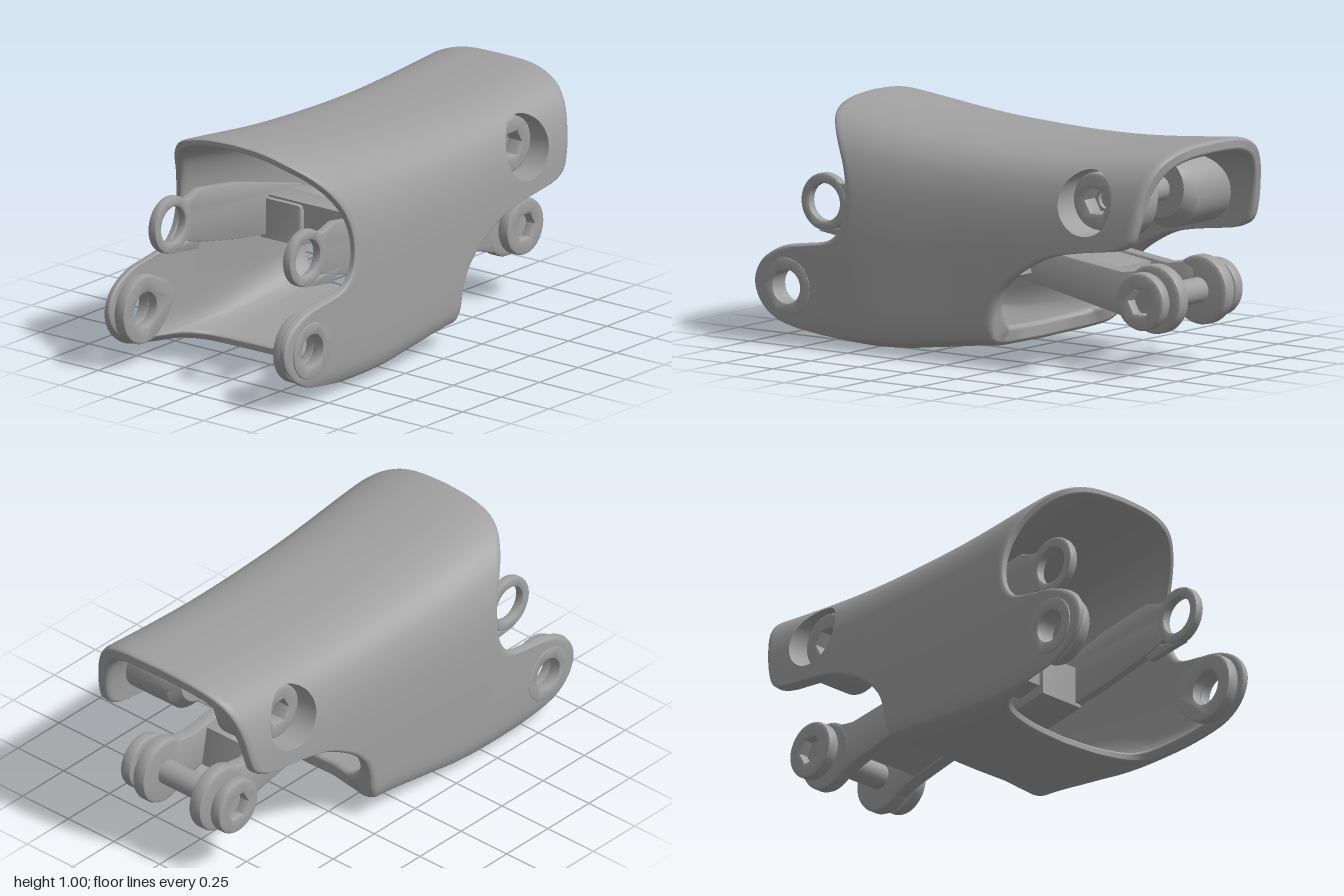
import * as THREE from 'three';
import { toCreasedNormals } from 'three/addons/utils/BufferGeometryUtils.js';

const { clamp, mapLinear, lerp } = THREE.MathUtils;
const V2 = (a) => new THREE.Vector2(a[0], a[1]);

// Smooth lookup table: key -> value through a few points with ascending keys
function table(points) {
  const pts = new THREE.SplineCurve(points.map(V2)).getPoints(240);
  return (k) => {
    if (k <= pts[0].x) return pts[0].y;
    for (let i = 1; i < pts.length; i++) {
      const a = pts[i - 1], b = pts[i];
      if (k <= b.x) return a.y + (b.y - a.y) * (k - a.x) / Math.max(b.x - a.x, 1e-6);
    }
    return pts[pts.length - 1].y;
  };
}

// Shell proportions along x
const top = table([[-1, 1.04], [-0.72, 1.005], [-0.3, 0.952], [0, 0.93], [0.3, 0.92], [0.6, 0.928], [1, 0.963]]);
const bottom = table([[-1, 0], [-0.41, 0], [-0.15, 0.025], [0.15, 0.06], [0.5, 0.065], [1, 0.065]]);
const halfWidth = table([[-1, 0.476], [-0.5, 0.48], [0, 0.456], [0.5, 0.44], [1, 0.43]]);
const wall = table([[-1, 0.038], [-0.5, 0.04], [0, 0.07], [0.2, 0.08], [0.6, 0.062], [1, 0.06]]);
const squareness = (x) => mapLinear(clamp(x, -0.7, 0.6), -0.7, 0.6, 1, 0.75);

// Half cross-section, keel to crown: relative height, relative width
const section = [[0, 0], [0.005, 0.4], [0.02, 0.75], [0.045, 0.92], [0.075, 0.97], [0.13, 0.995], [0.25, 1], [0.4, 1],
  [0.55, 0.995], [0.68, 0.972], [0.78, 0.925], [0.865, 0.84], [0.93, 0.7], [0.97, 0.51], [0.993, 0.28], [1, 0]];
const sectionCurve = new THREE.SplineCurve(section.map(V2));
const widthAt = table(section);

// Trimmed ends in side view, listed as [y, x]
const edge = (pts) => table(pts.map(([y, x]) => [(y - bottom(x)) / (top(x) - bottom(x)), x]));
const rearEdge = edge([[0, -0.41], [0.02, -0.47], [0.04, -0.57], [0.055, -0.7], [0.08, -0.85], [0.12, -0.93], [0.18, -0.982],
  [0.25, -1], [0.32, -0.975], [0.37, -0.92], [0.405, -0.84], [0.42, -0.75], [0.44, -0.64], [0.48, -0.58],
  [0.55, -0.545], [0.65, -0.54], [0.75, -0.565], [0.83, -0.61], [0.9, -0.665], [0.97, -0.73], [1.008, -0.745]]);
const frontEdge = edge([[0.06, 0.12], [0.07, 0.15], [0.09, 0.18], [0.15, 0.195], [0.22, 0.205], [0.3, 0.235], [0.37, 0.295],
  [0.43, 0.38], [0.48, 0.48], [0.51, 0.6], [0.53, 0.74], [0.545, 0.83], [0.58, 0.885], [0.65, 0.91],
  [0.75, 0.93], [0.85, 0.955], [0.92, 0.98], [0.96, 1]]);

const LUG = { x: -0.83, y: 0.24, r: 0.075 };
const BORE = { x: 0.65, y: 0.72, r: 0.135 };

function surfaceZ(x, y, off) {
  const b = bottom(x) + off, t = top(x) - off;
  const w = clamp(widthAt(clamp((y - b) / (t - b), 0, 1)), 0, 1);
  return (halfWidth(x) - off) * Math.pow(w, squareness(x));
}

// Rows round the half section, packed closer where the ends sweep quickly
function sectionRows(n) {
  const fine = [];
  let len = 0, last = null;
  for (let i = 0; i <= 1200; i++) {
    const c = sectionCurve.getPoint(i / 1200);
    const s = { q: clamp(c.x, 0, 1), p: clamp(c.y, 0, 1) };
    s.a = rearEdge(s.q); s.b = frontEdge(s.q);
    if (last) len += Math.hypot(s.q - last.q, (s.p - last.p) / 2) + 0.3 * (Math.abs(s.a - last.a) + Math.abs(s.b - last.b));
    s.len = len;
    fine.push(last = s);
  }
  const rows = [];
  for (let i = 0, k = 0; i <= n; i++) {
    while (k < 1200 && fine[k].len < len * i / n) k++;
    rows.push(fine[k]);
  }
  rows[n] = fine[1200];
  return rows;
}

// Closed loops joined into a skin; triangles lying wholly in a cut hole are left out
function skin(loops, cut = () => false) {
  const n = loops[0].length, pos = [], index = [], inside = [];
  for (const loop of loops) for (const v of loop) { inside.push(cut(v)); pos.push(...v); }
  const tri = (a, b, c) => { if (!(inside[a] && inside[b] && inside[c])) index.push(a, b, c); };
  for (let j = 0; j + 1 < loops.length; j++) for (let i = 0; i < n; i++) {
    const a = j * n + i, b = j * n + (i + 1) % n;
    tri(a, b, a + n); tri(b, b + n, a + n);
  }
  const g = new THREE.BufferGeometry();
  g.setAttribute('position', new THREE.Float32BufferAttribute(pos, 3));
  g.setIndex(index);
  g.computeVertexNormals();
  return g;
}

const circle = (x, y, r, n = 48) => Array.from({ length: n }, (_, i) => {
  const a = i / n * Math.PI * 2;
  return [x + r * Math.cos(a), y + r * Math.sin(a)];
});

// Outline round two circles joined by tangents
function linkShape(x1, y1, r1, x2, y2, r2) {
  const ang = Math.atan2(y2 - y1, x2 - x1), off = Math.acos((r1 - r2) / Math.hypot(x2 - x1, y2 - y1));
  const s = new THREE.Shape();
  s.absarc(x1, y1, r1, ang + off, ang - off + Math.PI * 2, false);
  s.absarc(x2, y2, r2, ang - off, ang + off, false);
  return s;
}
const poly = (pts) => new THREE.Shape(pts.map(V2));
function pierce(shape, x, y, r, n = 40) {
  shape.holes.push(new THREE.Path(circle(x, y, r, n).map(V2)));
  return shape;
}

export function createModel() {
  const group = new THREE.Group();
  const grey = new THREE.MeshStandardMaterial({ color: 0xa0a0a0, side: THREE.DoubleSide });
  grey.name = 'plain grey';
  const add = (name, geo) => {
    const m = new THREE.Mesh(geo, grey);
    m.name = name;
    group.add(m);
  };
  // Plate between two z values, repeated on the far side unless it straddles the middle
  const plate = (name, shape, z0, z1, bevel = 0.01) => {
    const sides = z0 > 0 ? [[z0, z1], [-z1, -z0]] : [[z0, z1]];
    for (const [a, b] of sides) {
      const g = new THREE.ExtrudeGeometry(shape, { depth: b - a - 2 * bevel, curveSegments: 24,
        bevelSize: bevel, bevelThickness: bevel, bevelOffset: -bevel, bevelSegments: 2 });
      add(name, toCreasedNormals(g.translate(0, 0, a + bevel), 0.6));
    }
  };
  const rod = (name, x, y, r, len) => add(name, new THREE.CylinderGeometry(r, r, len, 32).rotateX(Math.PI / 2).translate(x, y, 0));

  // Main shell: outer skin, inner skin and rims, with the lips rounded over
  const half = sectionRows(104), cols = 86;
  const ring = [...half.map((s) => [s, 1]), ...half.slice(1, -1).reverse().map((s) => [s, -1])];
  const lip = (d, size) => 1 - Math.sqrt(1 - clamp(1 - d / size, 0, 1) ** 2);
  // Inner floor corners are filled to a wide radius towards the front
  const filled = (s, x) => {
    if (s.q >= 0.2) return s.p;
    const arc = 0.5 + 0.5 * Math.sqrt(1 - (1 - s.q / 0.2) ** 2);
    return lerp(s.p, Math.min(s.p, arc), clamp((x + 0.45) / 0.5, 0, 1));
  };
  const loopAt = (f, inner) => ring.map(([s, side]) => {
    const x = s.a + (s.b - s.a) * f, round = lip(Math.min(x - s.a, s.b - x), 0.035);
    const off = wall(x) * (inner ? 1 - 0.3 * round : 0.25 * round), b = bottom(x) + off;
    const p = inner ? filled(s, x) : s.p;
    return [x, b + s.q * (top(x) - off - b), side * (halfWidth(x) - off) * Math.pow(p, squareness(x))];
  });
  const cutter = (inner) => (v) => [LUG, BORE].some((h) => {
    const dx = v[0] - h.x, dy = v[1] - h.y, d = Math.hypot(dx, dy) || 1e-6;
    if (d >= h.r) return false;
    v[0] = h.x + dx / d * h.r;
    v[1] = h.y + dy / d * h.r;
    v[2] = Math.sign(v[2]) * surfaceZ(v[0], v[1], inner ? wall(v[0]) : 0);
    return true;
  });
  // Columns sit closer together at both ends
  const loops = (inner) => Array.from({ length: cols + 1 }, (_, j) => loopAt(0.5 - 0.5 * Math.cos(Math.PI * j / cols), inner));
  add('outerShell', skin(loops(false), cutter(false)));
  add('innerShell', skin(loops(true).reverse(), cutter(true)));
  add('rearRim', skin([loopAt(0, true), loopAt(0, false)]));
  add('frontRim', skin([loopAt(1, false), loopAt(1, true)]));

  // Recessed bolt bosses: [radius, centre height, z]; no z means the shell surface
  const profile = [[0.135, BORE.y, null], [0.135, BORE.y, 0.27], [0.04, BORE.y, 0.27], [0.04, BORE.y, 0.085],
    [0.125, 0.725, 0.085], [0.157, 0.707, 0.135], [0.157, 0.707, null]];
  for (const side of [1, -1]) {
    const rings = profile.map(([r, cy, z], i) => circle(BORE.x, cy, r).map(([x, y]) =>
      [x, y, side * (z === null ? surfaceZ(x, y, 0) - (i ? 0.035 : 0) : z)]));
    add('boltBoss', toCreasedNormals(skin(side > 0 ? rings : rings.reverse()), 0.6));
  }
  rod('boltShaft', BORE.x, BORE.y, 0.053, 0.5);
  plate('boltHead', pierce(poly(circle(BORE.x, BORE.y, 0.118)), BORE.x, BORE.y, 0.058, 6), 0.26, 0.34);

  // Rear lugs: lined holes and inner pads
  plate('lugWasher', pierce(poly(circle(LUG.x, LUG.y, 0.12)), LUG.x, LUG.y, 0.07), 0.43, 0.482, 0.004);
  plate('lugPad', pierce(linkShape(LUG.x, LUG.y, 0.145, -0.75, 0.25, 0.1), LUG.x, LUG.y, 0.072), 0.387, 0.44);

  // Rocker: rear eyelets and side arms
  plate('rearEyelet', pierce(poly(circle(-0.72, 0.585, 0.12)), -0.72, 0.585, 0.077), 0.33, 0.372);
  plate('rearArm', poly([[-0.645, 0.67], [-0.61, 0.672], [-0.54, 0.695], [-0.3, 0.66], [0.12, 0.55], [0.12, 0.36],
    [-0.3, 0.42], [-0.55, 0.47], [-0.61, 0.49], [-0.645, 0.5], [-0.628, 0.54], [-0.62, 0.585], [-0.628, 0.63]]), 0.332, 0.37, 0.004);
  plate('armTab', poly([[-0.75, 0.465], [-0.67, 0.455], [-0.55, 0.44], [-0.5, 0.5], [-0.62, 0.49]]), 0.34, 0.37, 0.004);

  // Rocker: cross blocks and bridge
  const block = poly([[-0.12, 0.55], [0.08, 0.56], [0.16, 0.53], [0.2, 0.36], [0.15, 0.34], [-0.12, 0.38]]);
  plate('sideBlock', block, 0.15, 0.374, 0.02);
  plate('middleBlock', poly([[-0.1, 0.55], [0.08, 0.55], [0.13, 0.53], [0.14, 0.45], [-0.1, 0.45]]), -0.08, 0.08, 0.015);
  plate('bridge', poly([[-0.1, 0.56], [0.02, 0.56], [0.02, 0.4], [-0.1, 0.42]]), -0.36, 0.36);

  // Rocker: front arms, web, discs and pivot bolt
  const px = 0.82, py = 0.312;
  plate('frontArm', poly([[0.08, 0.46], [0.28, 0.46], [0.66, 0.412], [0.74, 0.425], [0.8, 0.4], [0.8, 0.22], [0.72, 0.205],
    [0.64, 0.232], [0.08, 0.345]]), 0.12, 0.183);
  plate('frontArmWeb', poly([[0.05, 0.45], [0.28, 0.45], [0.58, 0.41], [0.61, 0.245], [0.05, 0.36]]), -0.125, 0.125);
  plate('pivotDisc', poly(circle(px, py, 0.143)), 0.122, 0.186, 0.014);
  rod('pivotShaft', px, py, 0.053, 0.46);
  plate('pivotHead', pierce(poly(circle(px, py, 0.12)), px, py, 0.058, 6), 0.218, 0.272, 0.012);
  return group;
}
